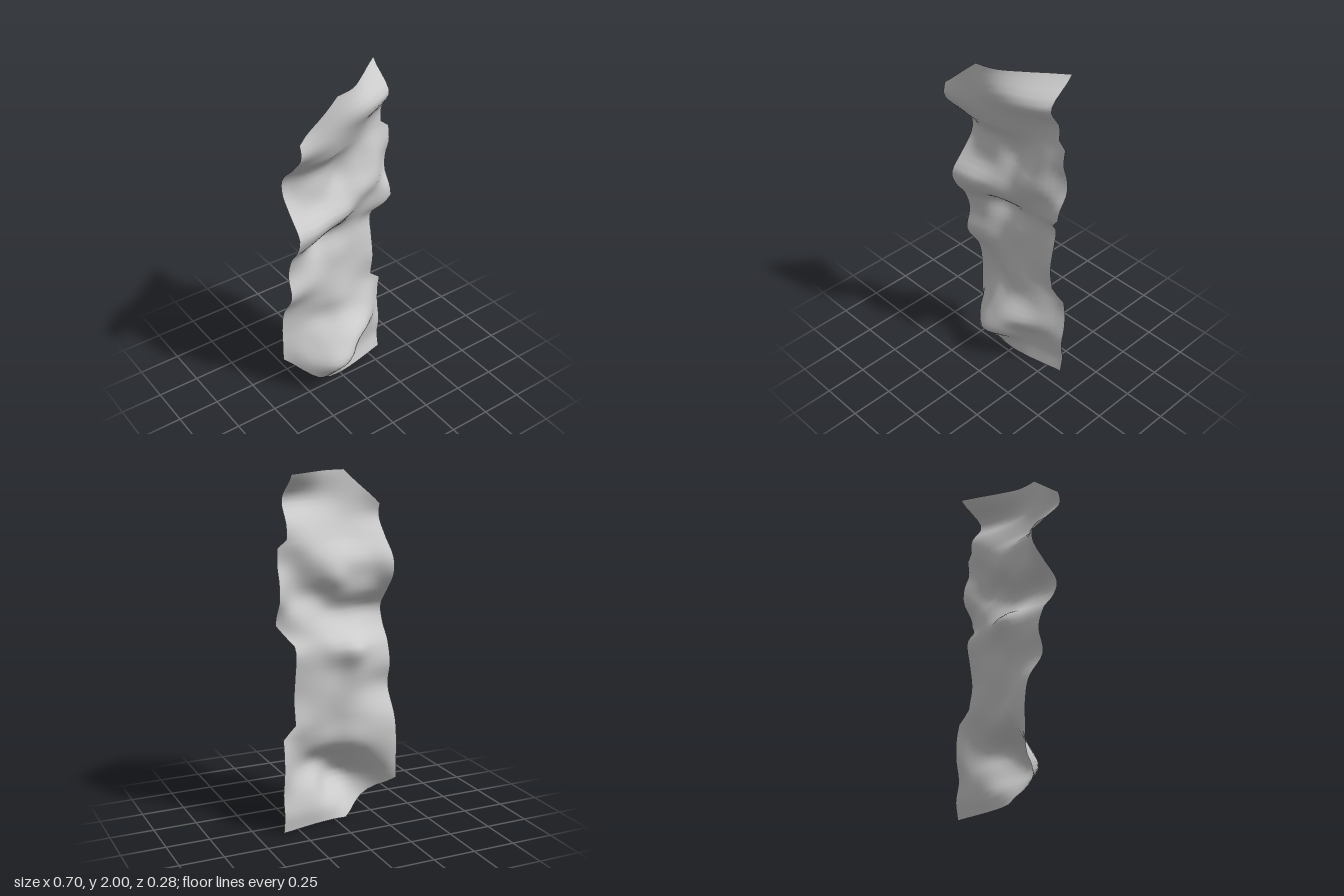
import * as THREE from 'three';

// Depth of the rock sheet: [y, z at seven even steps from x = -0.35 to 0.35]
const DEPTH = [
  [0.00, -0.06, -0.05, -0.04, -0.035, -0.05, -0.075, -0.10],
  [0.10, -0.10, 0.00, 0.04, -0.01, -0.06, -0.09, -0.115],
  [0.22, -0.115, 0.02, 0.12, 0.10, -0.02, -0.07, -0.10],
  [0.34, -0.115, -0.06, 0.03, 0.075, 0.05, -0.03, -0.12],
  [0.46, -0.115, -0.095, -0.07, -0.03, -0.03, -0.05, -0.12],
  [0.60, -0.09, -0.08, -0.06, -0.04, -0.06, -0.085, -0.095],
  [0.76, 0.00, -0.02, -0.05, -0.06, -0.07, -0.07, -0.07],
  [0.90, -0.025, -0.04, -0.075, -0.065, -0.075, -0.085, -0.10],
  [1.03, 0.01, -0.03, -0.115, -0.10, -0.085, -0.10, -0.12],
  [1.12, 0.075, 0.05, 0.005, -0.025, -0.055, -0.055, -0.035],
  [1.22, 0.10, 0.09, 0.06, 0.04, -0.01, -0.04, -0.03],
  [1.32, 0.02, 0.01, 0.00, 0.00, 0.02, -0.005, -0.085],
  [1.42, -0.055, -0.015, -0.02, -0.06, -0.025, -0.015, -0.085],
  [1.52, -0.05, -0.015, -0.02, -0.045, -0.05, -0.035, -0.055],
  [1.62, 0.05, 0.06, 0.055, 0.015, -0.03, -0.06, -0.065],
  [1.73, 0.135, 0.12, 0.10, 0.065, 0.02, -0.04, -0.08],
  [1.86, 0.105, 0.12, 0.12, 0.115, 0.09, 0.04, -0.03],
  [2.00, 0.10, 0.12, 0.115, 0.085, 0.00, -0.095, -0.175],
];

// Left and right outlines of the sheet: [y, x]
const EDGE_A = [[0, -0.07], [0.23, -0.355], [1.8, -0.355], [2, -0.12]];
const EDGE_B = [[0, 0.345], [0.55, 0.345], [0.62, 0.265], [1.07, 0.265],
  [1.18, 0.35], [1.61, 0.35], [1.65, 0.3], [2, 0.3]];

const clamp = THREE.MathUtils.clamp;

function edgeX(edge, y) {
  let i = 0;
  while (i < edge.length - 2 && y > edge[i + 1][0]) i++;
  const [y0, x0] = edge[i], [y1, x1] = edge[i + 1];
  return x0 + (x1 - x0) * (y - y0) / (y1 - y0);
}

// Smooth curve through four neighbouring values
function spline(at, count, i, t) {
  const [a, b, c, d] = [-1, 0, 1, 2].map((k) => at(clamp(i + k, 0, count - 1)));
  return b + 0.5 * t * (c - a + t * (2 * a - 5 * b + 4 * c - d + t * (3 * (b - c) + d - a)));
}

function depth(x, y) {
  let r = 0;
  while (r < DEPTH.length - 2 && y > DEPTH[r + 1][0]) r++;
  const v = (y - DEPTH[r][0]) / (DEPTH[r + 1][0] - DEPTH[r][0]);
  const s = clamp((x + 0.35) / 0.7 * 6, 0, 6), c = Math.min(5, Math.floor(s));
  const across = (row) => spline((k) => DEPTH[row][k + 1], 7, c, s - c);
  return spline(across, DEPTH.length, r, v);
}

export function createModel() {
  // Rows include every outline corner so the silhouette stays crisp
  const corners = [...new Set([...EDGE_A, ...EDGE_B].map((p) => p[0]))].sort((a, b) => a - b);
  const rows = [0];
  for (let k = 1; k < corners.length; k++) {
    const from = corners[k - 1], span = corners[k] - from, n = Math.ceil(span / 0.035);
    for (let i = 1; i <= n; i++) rows.push(from + span * i / n);
  }
  const cols = 24, positions = [], index = [];
  rows.forEach((y, j) => {
    const x0 = edgeX(EDGE_A, y), x1 = edgeX(EDGE_B, y);
    for (let i = 0; i <= cols; i++) {
      const x = x0 + (x1 - x0) * i / cols;
      positions.push(x, y, depth(x, y));
      if (j && i) {
        const d = j * (cols + 1) + i, b = d - cols - 1;
        index.push(b - 1, b, d, b - 1, d, d - 1);
      }
    }
  });
  const geometry = new THREE.BufferGeometry();
  geometry.setAttribute('position', new THREE.Float32BufferAttribute(positions, 3));
  geometry.setIndex(index);
  geometry.computeVertexNormals();

  const material = new THREE.MeshStandardMaterial({ color: 0xcccccc, side: THREE.DoubleSide });
  const sheet = new THREE.Mesh(geometry, material);
  sheet.name = 'rockFace';
  const group = new THREE.Group();
  group.name = 'rockWall';
  group.add(sheet);
  return group;
}
